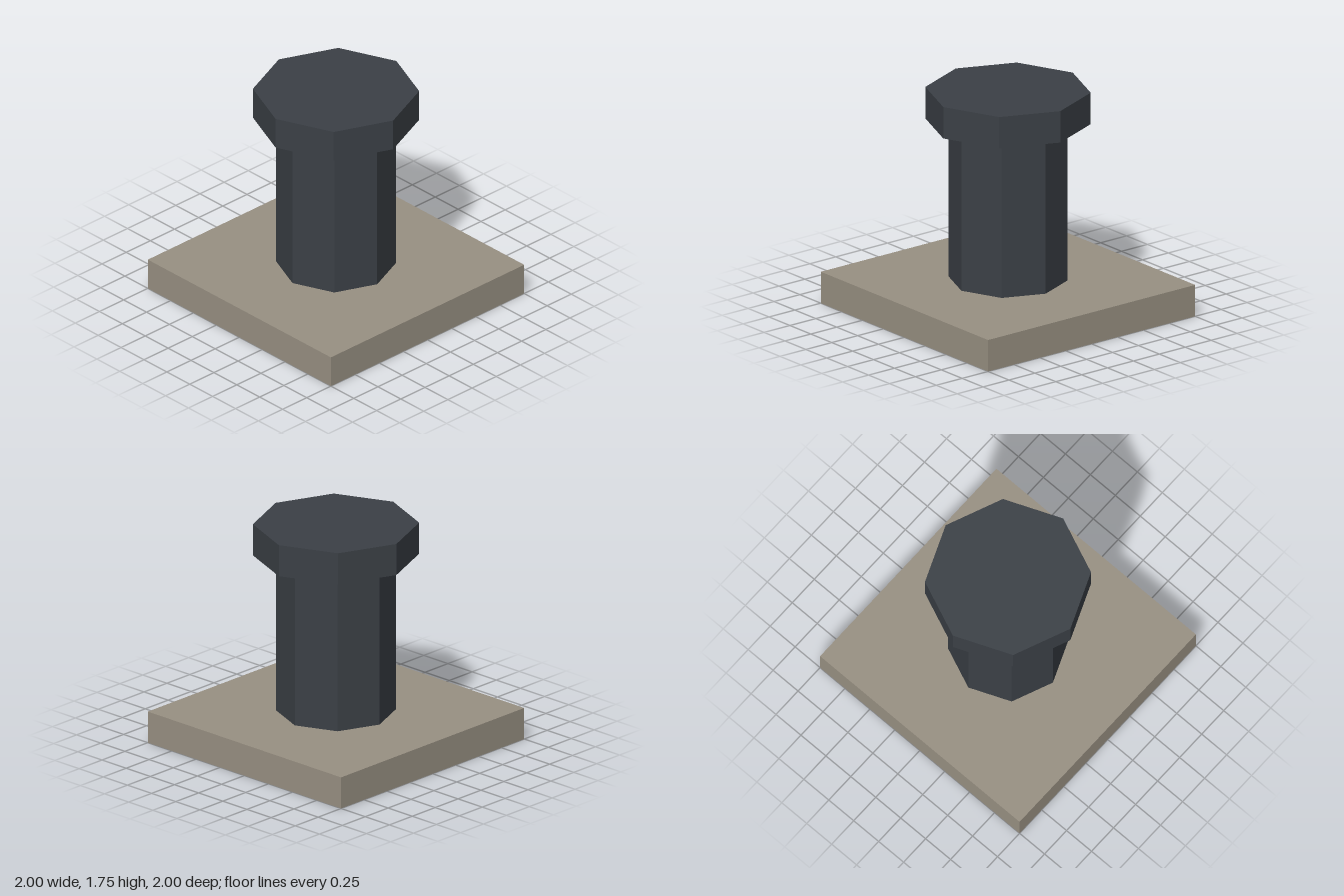
import * as THREE from 'three';

export function createModel() {
  const group = new THREE.Group();
  const stone = new THREE.MeshStandardMaterial({ color: 0x989082, flatShading: true });
  stone.name = 'stone';
  const iron = new THREE.MeshStandardMaterial({ color: 0x3b4046, flatShading: true });
  iron.name = 'dark iron';

  // Place a part by its bottom and top heights
  const add = (name, geometry, material, bottom, top) => {
    const mesh = new THREE.Mesh(geometry, material);
    mesh.name = name;
    mesh.position.y = (bottom + top) / 2;
    group.add(mesh);
  };
  const octagon = (name, radius, bottom, top) =>
    add(name, new THREE.CylinderGeometry(radius, radius, top - bottom, 8), iron, bottom, top);

  // Square slab, with the octagonal post sunk into it and a wider cap on top
  add('base', new THREE.BoxGeometry(2, 0.25, 2), stone, 0, 0.25);
  octagon('post', 0.45, 0.01, 1.5);
  octagon('cap', 0.625, 1.5, 1.75);

  return group;
}
